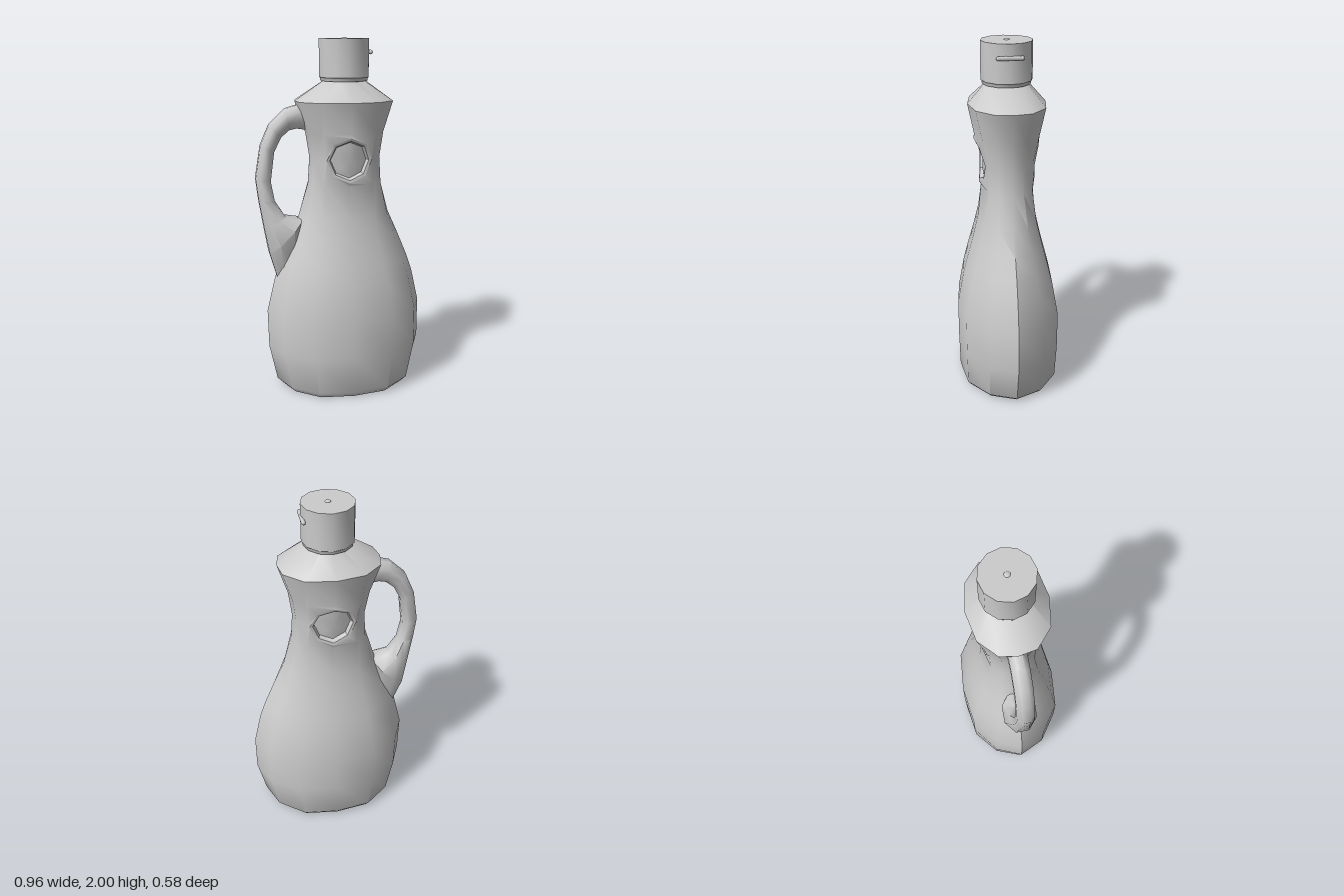
import * as THREE from 'three';
import { toCreasedNormals } from 'three/addons/utils/BufferGeometryUtils.js';

const CX = 0.022; // axis of the neck and cap
const material = new THREE.MeshStandardMaterial({ color: 0xcccccc, side: THREE.DoubleSide });

// Skins a list of closed loops; skip(i, j) leaves a quad open
function loft(loops, out, skip = () => false) {
  const tri = (a, b, c) => {
    if (a.distanceTo(b) > 1e-5 && b.distanceTo(c) > 1e-5 && c.distanceTo(a) > 1e-5) {
      for (const p of [a, b, c]) out.push(p.x, p.y, p.z);
    }
  };
  for (let i = 0; i < loops.length - 1; i++) {
    const n = loops[i].length;
    for (let j = 0; j < n; j++) {
      if (skip(i, j)) continue;
      const k = (j + 1) % n;
      tri(loops[i][j], loops[i + 1][j], loops[i + 1][k]);
      tri(loops[i][j], loops[i + 1][k], loops[i][k]);
    }
  }
  return out;
}

function addMesh(group, name, geometry, crease = 0.75) {
  const mesh = new THREE.Mesh(crease ? toCreasedNormals(geometry, crease) : geometry, material);
  mesh.name = name;
  group.add(mesh);
  return mesh;
}

function fromTriangles(positions) {
  const g = new THREE.BufferGeometry();
  g.setAttribute('position', new THREE.Float32BufferAttribute(positions, 3));
  return g;
}

// Twelve-sided section; shape holds the unit points at 30 and 60 degrees
function section([y, left, right, depth, shape]) {
  const [c30, s30, c60, s60] = shape;
  const quarter = [[1, 0], [c30, s30], [c60, s60]];
  const unit = [
    ...quarter, [0, 1], [-c60, s60], [-c30, s30],
    [-1, 0], [-c30, -s30], [-c60, -s60], [0, -1], [c60, -s60], [c30, -s30],
  ];
  return unit.map(([u, v]) => new THREE.Vector3(CX + u * (u < 0 ? CX - left : right - CX), y, v * depth));
}

function buildBody() {
  const low = [0.85, 0.52, 0.5, 0.91];
  const mid = [0.9, 0.5, 0.55, 0.89];
  const neck = [0.94, 0.45, 0.68, 0.84];
  const collar = [0.94, 0.45, 0.58, 0.87];
  const round = [0.866, 0.5, 0.5, 0.866];
  const rows = [
    [0.03, CX, CX, 0, low],
    [0.03, -0.26, 0.3, 0.19, low],
    [0, -0.28, 0.32, 0.205, low],
    [0, -0.35, 0.395, 0.265, low],
    [0.03, -0.38, 0.43, 0.285, low],
    [0.24, -0.425, 0.478, 0.29, low],
    [0.46, -0.43, 0.478, 0.29, low],
    [0.65, -0.385, 0.435, 0.255, low],
    [0.75, -0.355, 0.4, 0.23, low],
    [0.88, -0.3, 0.345, 0.195, low],
    [1.02, -0.24, 0.282, 0.163, mid],
    [1.2, -0.186, 0.232, 0.145, neck],
    [1.35, -0.176, 0.222, 0.147, neck],
    [1.49, -0.198, 0.24, 0.178, neck],
    [1.66, -0.255, 0.292, 0.213, collar],
    [1.765, -0.1, 0.144, 0.12, round],
    [1.765, CX, CX, 0, round],
  ];
  const loops = rows.map(section);
  const r = 11; // first row of the dimple openings
  const out = loft(loops, [], (i, j) => (i === r || i === r + 1) && [2, 3, 8, 9].includes(j));

  // Round dimple with a raised rim, filling the opening in front and back
  const [b, m, t] = [loops[r], loops[r + 1], loops[r + 2]];
  const border = [m[2], t[2], t[3], t[4], m[4], b[4], b[3], b[2]];
  const ring = (radius, offset) => border.map((_, k) => {
    const a = k * Math.PI / 4;
    const x = radius * Math.cos(a), y = 1.345 + radius * Math.sin(a);
    const base = y < 1.35 ? 0.146 : 0.147 + (y - 1.35) * 0.22;
    return new THREE.Vector3(CX + x, y, base - 0.17 * Math.abs(x) + offset);
  });
  const dimple = [ring(0, -0.012), ring(0.06, -0.012), ring(0.1, -0.02), ring(0.11, 0.006), ring(0.126, 0.01), border];
  loft(dimple, out);
  const back = dimple.map(l => l.map(p => new THREE.Vector3(p.x, p.y, -p.z)));
  loft(back.reverse(), out);
  return fromTriangles(out);
}

function buildHandle() {
  // Outer x, y; inner x, y; half width
  const rows = [
    [-0.17, 1.645, -0.17, 1.5, 0.048],
    [-0.225, 1.645, -0.25, 1.512, 0.048],
    [-0.31, 1.62, -0.29, 1.503, 0.048],
    [-0.4, 1.535, -0.335, 1.465, 0.048],
    [-0.45, 1.42, -0.375, 1.385, 0.048],
    [-0.48, 1.24, -0.397, 1.22, 0.048],
    [-0.466, 1.12, -0.377, 1.11, 0.052],
    [-0.44, 0.96, -0.32, 1.02, 0.068],
    [-0.413, 0.81, -0.22, 1.0, 0.095],
    [-0.37, 0.66, -0.24, 0.8, 0.04],
  ];
  const loops = rows.map(([ox, oy, ix, iy, w]) => Array.from({ length: 8 }, (_, k) => {
    const a = (k + 0.5) * Math.PI / 4;
    const u = Math.cos(a) / Math.cos(Math.PI / 8), v = Math.sin(a) / Math.cos(Math.PI / 8);
    return new THREE.Vector3((ox + ix) / 2 + u * (ox - ix) / 2, (oy + iy) / 2 + u * (oy - iy) / 2, v * w);
  }));
  return fromTriangles(loft(loops, []));
}

export function createModel() {
  const model = new THREE.Group();
  model.name = 'bottle';
  addMesh(model, 'body', buildBody(), 0.72);
  addMesh(model, 'handle', buildHandle(), 0.9);

  // Neck ring and flip cap
  const capProfile = [
    [0.115, 1.75], [0.115, 1.765], [0.132, 1.767], [0.135, 1.783],
    [0.14, 1.787], [0.14, 1.993], [0, 1.993],
  ].map(([x, y]) => new THREE.Vector2(x, y));
  addMesh(model, 'cap', new THREE.LatheGeometry(capProfile, 12)).position.x = CX;

  // Small button on top of the cap
  const button = addMesh(model, 'capButton', new THREE.SphereGeometry(0.017, 10, 6), 0);
  button.scale.y = 0.5;
  button.position.set(CX, 1.9915, 0);

  // Thumb lip on the side of the cap
  const lip = addMesh(model, 'capLip', new THREE.CapsuleGeometry(0.012, 0.125, 3, 8), 0);
  lip.rotation.x = Math.PI / 2;
  lip.position.set(CX + 0.134, 1.92, 0);
  return model;
}
